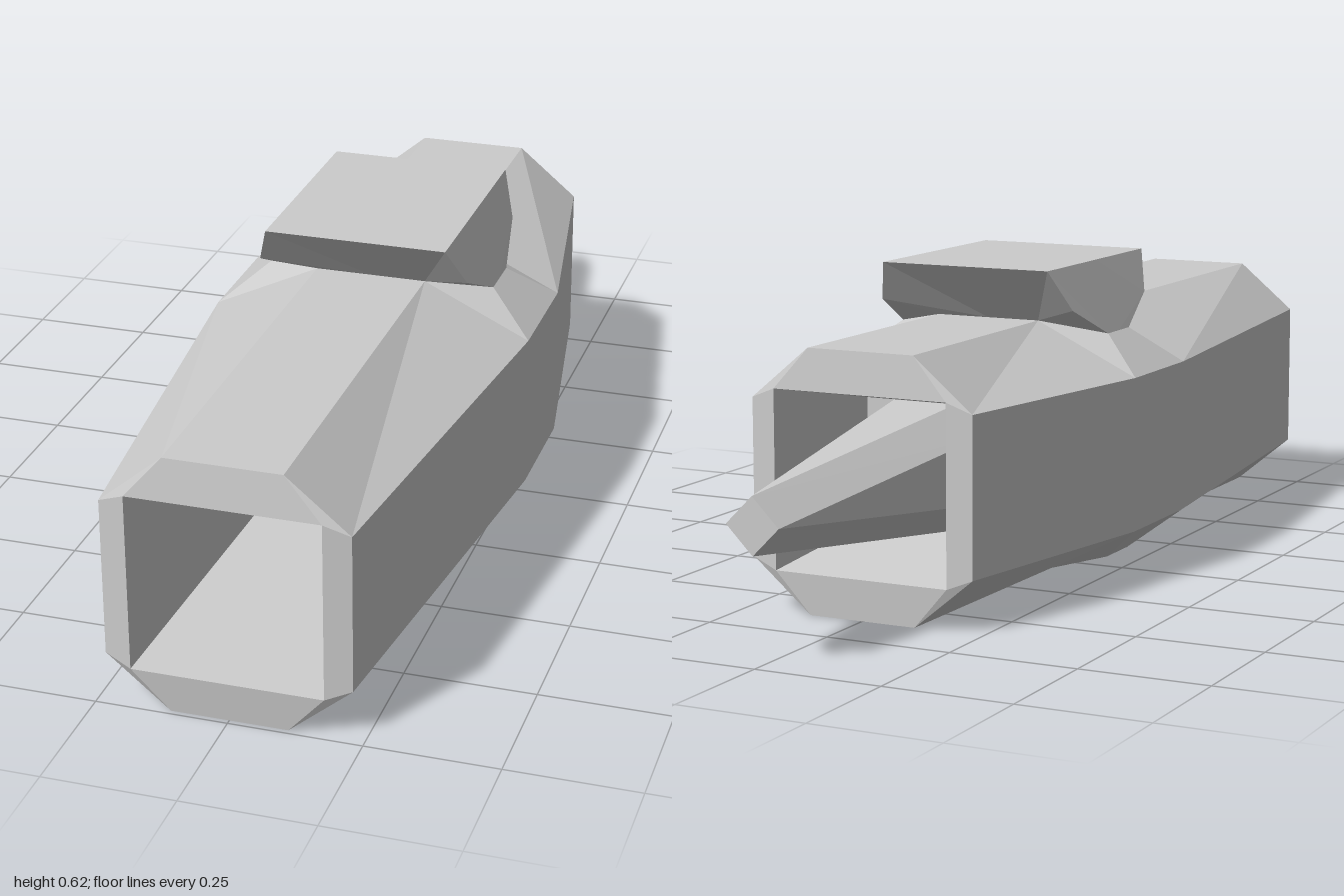
import * as THREE from 'three';

const CY = 0.2525; // mid height of the hull
const CZ = 0.02; // centre line of the waist

// Mirrors the faces of one sector across the given signs, keeping them facing outward.
// Points are [x, height, distance along z from the waist].
function mirrored(name, sectors, facesFor) {
  const pos = [];
  for (const [sx, sy, sz] of sectors) {
    for (const face of facesFor(sz)) {
      const pts = face.map(([x, y, z]) => [sx * x, CY + sy * (y - CY), CZ + sz * z]);
      if (sx * sy * sz < 0) pts.reverse();
      for (let i = 1; i < pts.length - 1; i++) pos.push(...pts[0], ...pts[i], ...pts[i + 1]);
    }
  }
  const geo = new THREE.BufferGeometry();
  geo.setAttribute('position', new THREE.Float32BufferAttribute(pos, 3));
  geo.computeVertexNormals();
  const mesh = new THREE.Mesh(geo, new THREE.MeshStandardMaterial({ color: 0xcccccc, flatShading: true }));
  mesh.name = name;
  return mesh;
}

function signs(xs, ys, zs) {
  return xs.flatMap(x => ys.flatMap(y => zs.map(z => [x, y, z])));
}

// Corners shared by the hull waist and the top block
const shoulder = [0.11, 0.505, 0.12];
const notch = [0.23, 0.478, 0.05];
const notchMid = [0.23, 0.478, 0];

// Tapered eight-sided hull with notched waist and a recess at each end
function hullFaces(sz) {
  const [end, rim, floor] = sz > 0 ? [0.97, 0.98, 0.38] : [0.64, 0.647, 0.39];
  const a = [0.23, 0.405, end], b = [0.11, 0.505, end], c = [0.32, 0.405, 0.12];
  const aMid = [0.23, CY, end], cMid = [0.32, CY, 0.12];
  const i = [0.18, 0.425, rim], j = [0.125, 0.375, floor];
  return [
    // side and chamfer
    [aMid, cMid, c, a],
    [cMid, [0.32, CY, 0], [0.32, 0.405, 0], c],
    [a, c, shoulder, b],
    // notch in the waist
    [c, notch, shoulder],
    [c, [0.32, 0.405, 0], notchMid, notch],
    [notch, notchMid, [0.11, 0.505, 0], shoulder],
    // flat top
    [b, shoulder, [0, 0.505, 0.12], [0, 0.505, end]],
    [shoulder, [0.11, 0.505, 0], [0, 0.505, 0], [0, 0.505, 0.12]],
    // end rim
    [aMid, a, i, [0.18, CY, rim]],
    [a, b, i],
    [b, [0, 0.505, end], [0, 0.425, rim], i],
    // recess walls and floor
    [[0.18, CY, rim], i, j, [0.125, CY, floor]],
    [i, [0, 0.425, rim], [0, 0.375, floor], j],
    [[0.125, CY, floor], j, [0, 0.375, floor], [0, CY, floor]],
  ];
}

// Flared block standing on the waist
function blockFaces() {
  const p = [0.18, 0.617, 0.225], q = [0.21, 0.536, 0.173];
  return [
    [notch, notchMid, [0.18, 0.617, 0], p, q],
    [shoulder, q, p, [0, 0.617, 0.225], [0, 0.505, 0.12]],
    [shoulder, notch, q],
    [p, [0.18, 0.617, 0], [0, 0.617, 0], [0, 0.617, 0.225]],
  ];
}

// Spike that narrows from an octagon to a diamond tip
function spikeFaces() {
  const base = 0.39, tip = 1.02;
  const a = [0.125, CY, base], b = [0.125, CY + 0.066, base];
  const c = [0.066, CY + 0.122, base], d = [0, CY + 0.122, base];
  const t1 = [0.053, CY, tip], t2 = [0, CY + 0.053, tip];
  return [[a, b, t1], [b, c, t2, t1], [c, d, t2], [[0, CY, tip], t1, t2]];
}

export function createModel() {
  const model = new THREE.Group();
  model.name = 'model';
  model.add(
    mirrored('hull', signs([1, -1], [1, -1], [1, -1]), hullFaces),
    mirrored('topBlock', signs([1, -1], [1], [1, -1]), blockFaces),
    mirrored('rearSpike', signs([1, -1], [1, -1], [-1]), spikeFaces),
  );
  return model;
}
